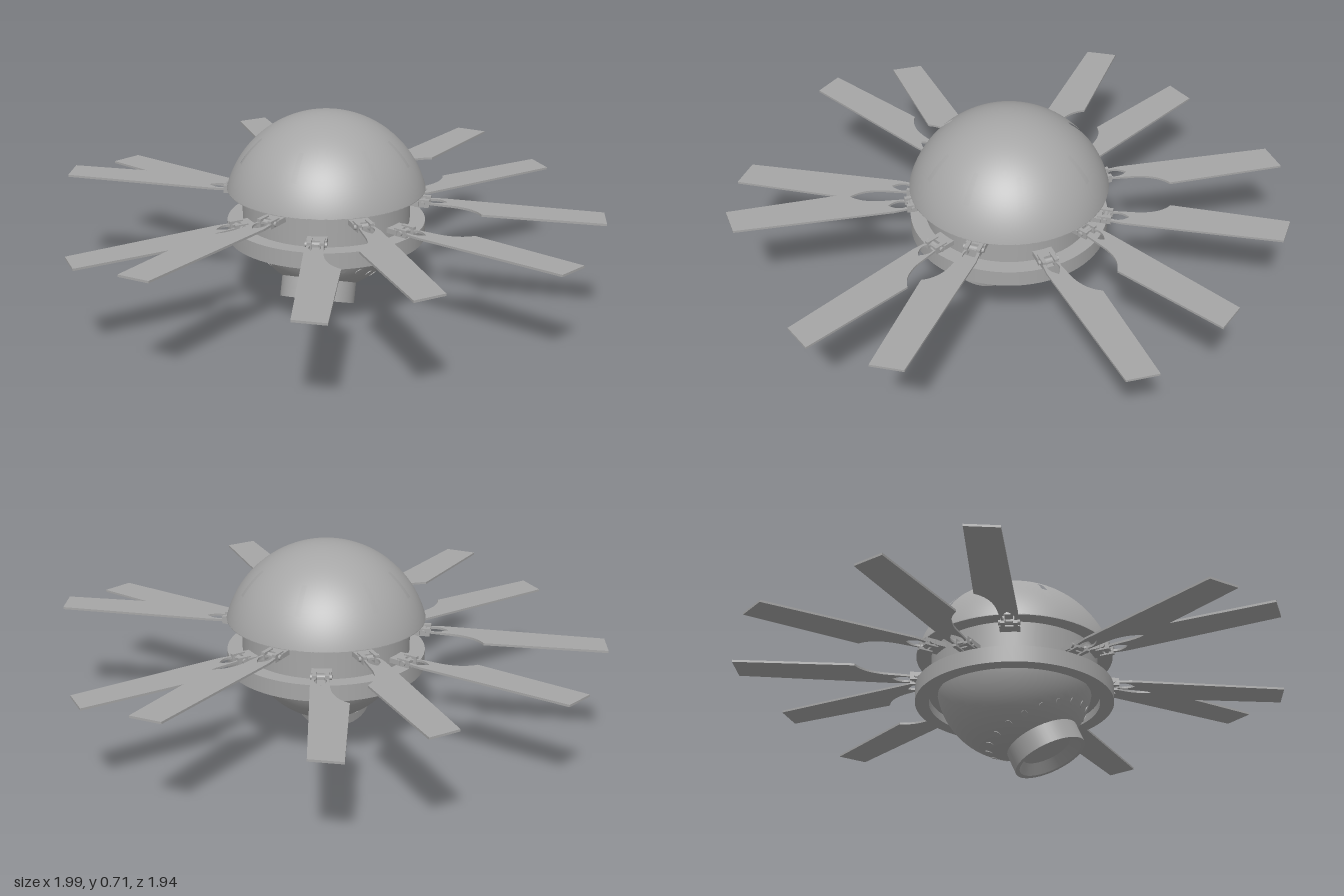
import * as THREE from 'three';

const grey = new THREE.MeshStandardMaterial({ color: 0xa6a6a6 });
grey.name = 'plain grey';

const RAD = Math.PI / 180;
const CENTRE_Y = 0.35;

function add(parent, name, geometry, x = 0, y = 0, z = 0) {
  const mesh = new THREE.Mesh(geometry, grey);
  mesh.name = name;
  mesh.position.set(x, y, z);
  parent.add(mesh);
  return mesh;
}

// Turned part; every corner is doubled so its edges stay sharp
function turned(profile, segments = 72) {
  const points = [];
  profile.forEach(([r, y], i) => {
    points.push(new THREE.Vector2(r, y));
    if (i > 0 && i < profile.length - 1) points.push(new THREE.Vector2(r, y));
  });
  return new THREE.LatheGeometry(points, segments);
}

// Dome shell with narrow slots left open along its meridians
function slottedDome(radius, slots) {
  const geo = new THREE.SphereGeometry(radius, 180, 25, 0, Math.PI * 2, 0, 75 * RAD);
  const pos = geo.attributes.position;
  const kept = [];
  const c = new THREE.Vector3();
  const v = new THREE.Vector3();
  for (let i = 0; i < geo.index.count; i += 3) {
    const tri = [0, 1, 2].map((k) => geo.index.getX(i + k));
    c.set(0, 0, 0);
    tri.forEach((n) => c.add(v.fromBufferAttribute(pos, n)));
    const polar = Math.acos(c.y / c.length()) / RAD;
    const around = Math.atan2(c.z, c.x) / RAD;
    const open = polar > 39 && polar < 57 &&
      slots.some((s) => Math.abs(((around - s + 540) % 360) - 180) < 2);
    if (!open) kept.push(...tri);
  }
  geo.setIndex(kept);
  return geo;
}

// Flat blade with a forked root; side = 1 or -1 picks the scooped edge
function bladeGeometry(side) {
  const s = new THREE.Shape();
  s.moveTo(-0.03, -0.026 * side);
  s.lineTo(0.03, -0.036 * side);
  s.lineTo(0.59, -0.056 * side);
  s.lineTo(0.613, 0.056 * side);
  s.lineTo(0.19, 0.09 * side);
  s.quadraticCurveTo(0.15, 0.03 * side, 0.05, 0.03 * side);
  s.lineTo(-0.03, 0.026 * side);
  s.closePath();
  const leaf = new THREE.Path();
  leaf.moveTo(-0.02, -0.012);
  leaf.quadraticCurveTo(0.012, -0.036, 0.05, 0);
  leaf.quadraticCurveTo(0.012, 0.036, -0.02, 0.012);
  leaf.closePath();
  s.holes.push(leaf);
  const geo = new THREE.ExtrudeGeometry(s, { depth: 0.008, bevelEnabled: false, curveSegments: 10 });
  return geo.rotateX(Math.PI / 2).translate(0, 0.004, 0);
}

// One blade with the hinge that fixes it to the body
function bladeArm(angle, y, side, geometry) {
  const arm = new THREE.Group();
  arm.name = side > 0 ? 'upperBladeArm' : 'lowerBladeArm';
  arm.position.y = y;
  arm.rotation.y = -angle * RAD;
  add(arm, 'hingeBase', new THREE.BoxGeometry(0.05, 0.018, 0.07), 0.315, 0, 0);
  const pin = add(arm, 'hingePin', new THREE.CylinderGeometry(0.009, 0.009, 0.075, 12), 0.352, 0, 0);
  pin.rotation.x = Math.PI / 2;
  for (const z of [-0.022, 0.022]) {
    add(arm, 'hingeLug', new THREE.BoxGeometry(0.05, 0.028, 0.014), 0.35, 0, z);
  }
  const blade = add(arm, 'blade', geometry, 0.387, 0, 0);
  blade.rotation.y = -4.5 * side * RAD;
  return arm;
}

export function createModel() {
  const model = new THREE.Group();
  model.name = 'bladedSphere';

  // Upper dome, slot floor and underside
  const dome = new THREE.Group();
  dome.name = 'dome';
  model.add(dome);
  const slots = [6, 42, 96, 152, 188, 224, 276, 330];
  add(dome, 'domeShell', slottedDome(0.367, slots), 0, CENTRE_Y, 0);
  add(dome, 'slotFloor',
    new THREE.SphereGeometry(0.352, 64, 24, 0, Math.PI * 2, 0, 70 * RAD), 0, CENTRE_Y, 0);
  add(dome, 'domeUnderside', turned([[0.28, 0.443], [0.3545, 0.443], [0.3545, 0.446]]));

  // Central drum and the collar below it
  add(model, 'drum', new THREE.CylinderGeometry(0.3, 0.3, 0.14, 72, 1, true), 0, 0.38, 0);
  add(model, 'collar', turned([
    [0.25, 0.295], [0.305, 0.295], [0.305, 0.265], [0.355, 0.265], [0.355, 0.325], [0.29, 0.325],
  ]));

  // Lower ball with tilted nozzle and a ring of ports
  add(model, 'lowerBall', new THREE.SphereGeometry(0.28, 64, 40), 0, CENTRE_Y, 0);
  const head = new THREE.Group();
  head.name = 'tiltedHead';
  head.position.y = CENTRE_Y;
  head.rotation.x = -0.405;
  model.add(head);
  add(head, 'nozzle', turned([
    [0, -0.285], [0.09, -0.285], [0.117, -0.32], [0.133, -0.32], [0.133, -0.235],
  ], 48));
  for (let i = 0; i < 18; i++) {
    const turn = new THREE.Group();
    turn.name = 'portMount';
    turn.rotation.set(0, i * 20 * RAD, 0);
    const tilt = new THREE.Group();
    tilt.rotation.x = -42 * RAD;
    turn.add(tilt);
    const port = add(tilt, 'port', new THREE.CylinderGeometry(0.014, 0.014, 0.008, 16), 0, -0.278, 0);
    port.scale.x = 0.8;
    head.add(turn);
  }

  // Six pairs of blades, each pair split between two levels
  const upper = bladeGeometry(1);
  const lower = bladeGeometry(-1);
  for (const half of [0, 180]) {
    for (const middle of [10.75, 67.2, 122.3]) {
      model.add(bladeArm(half + middle - 13.3, 0.413, 1, upper));
      model.add(bladeArm(half + middle + 13.3, 0.355, -1, lower));
    }
  }
  return model;
}
